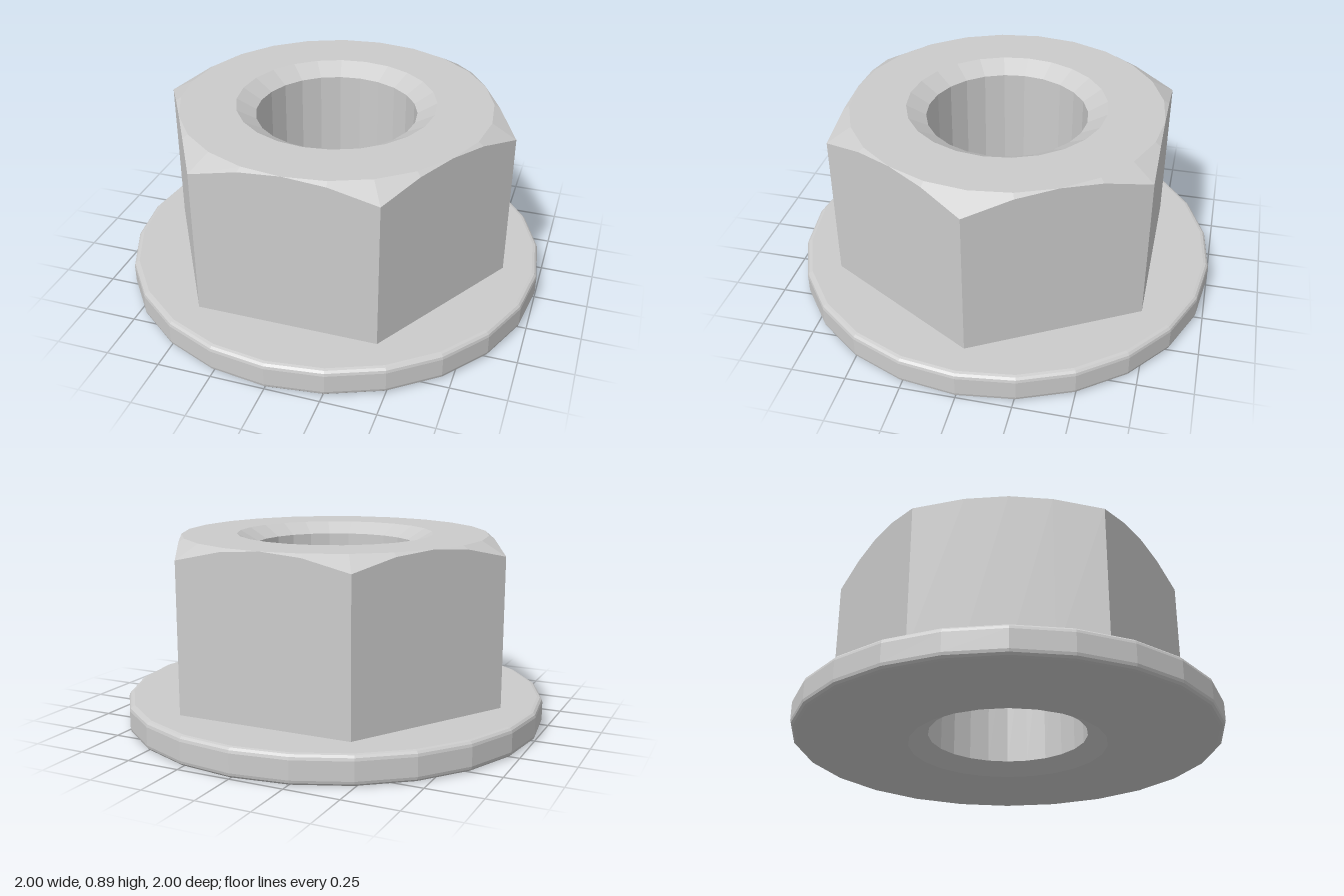
import * as THREE from 'three';

const SIDES = 24;
const HEIGHT = 0.895, FLANGE_TOP = 0.135;
const APOTHEM = 0.725, BORE = 0.375, SINK = 0.465, SINK_DEPTH = 0.052;

// Radius of the hexagon at an angle, corners on the x axis
const hexRadius = (a) => {
  const sector = Math.PI / 3;
  const local = ((a % sector) + sector) % sector;
  return APOTHEM / Math.cos(local - sector / 2);
};

// Skin a list of rings; each ring maps an angle to [radius, height]
function loft(rings) {
  const positions = [], index = [];
  for (const ring of rings) {
    for (let j = 0; j < SIDES; j++) {
      const a = (j / SIDES) * Math.PI * 2;
      const [r, y] = ring(a);
      positions.push(r * Math.cos(a), y, -r * Math.sin(a));
    }
  }
  for (let i = 0; i < rings.length - 1; i++) {
    for (let j = 0; j < SIDES; j++) {
      const k = (j + 1) % SIDES;
      const a = i * SIDES + j, b = i * SIDES + k;
      index.push(a, b, b + SIDES, a, b + SIDES, a + SIDES);
    }
  }
  const geometry = new THREE.BufferGeometry();
  geometry.setAttribute('position', new THREE.Float32BufferAttribute(positions, 3));
  geometry.setIndex(index);
  const flat = geometry.toNonIndexed();
  flat.computeVertexNormals();
  return flat;
}

const circle = (r, y) => () => [r, y];

export function createModel() {
  const group = new THREE.Group();
  group.name = 'flangedHexNut';
  const material = new THREE.MeshStandardMaterial({ color: 0xcccccc, flatShading: true });
  const add = (name, rings) => {
    const mesh = new THREE.Mesh(loft(rings), material);
    mesh.name = name;
    group.add(mesh);
  };

  // Washer flange with rounded rim
  const round = 0.025, rim = [];
  for (let i = 0; i <= 3; i++) {
    const t = (i / 3) * Math.PI / 2;
    rim.push([1 - round + round * Math.sin(t), round - round * Math.cos(t)]);
  }
  const upperRim = rim.map(([r, y]) => [r, FLANGE_TOP - y]).reverse();
  add('flange', [
    circle(SINK, 0),
    ...[...rim, ...upperRim].map(([r, y]) => circle(r, y)),
    (a) => [hexRadius(a), FLANGE_TOP],
  ]);

  // Hexagonal body, its corners cut by a 30 degree cone
  const chamferY = (r) => HEIGHT - (r - APOTHEM) * Math.tan(Math.PI / 6);
  add('hexBody', [
    (a) => [hexRadius(a), FLANGE_TOP],
    (a) => [hexRadius(a), chamferY(hexRadius(a))],
    circle(APOTHEM, HEIGHT),
    circle(SINK, HEIGHT),
  ]);

  // Through hole, countersunk at both ends
  add('bore', [
    circle(SINK, HEIGHT),
    circle(BORE, HEIGHT - SINK_DEPTH),
    circle(BORE, SINK_DEPTH),
    circle(SINK, 0),
  ]);

  return group;
}
